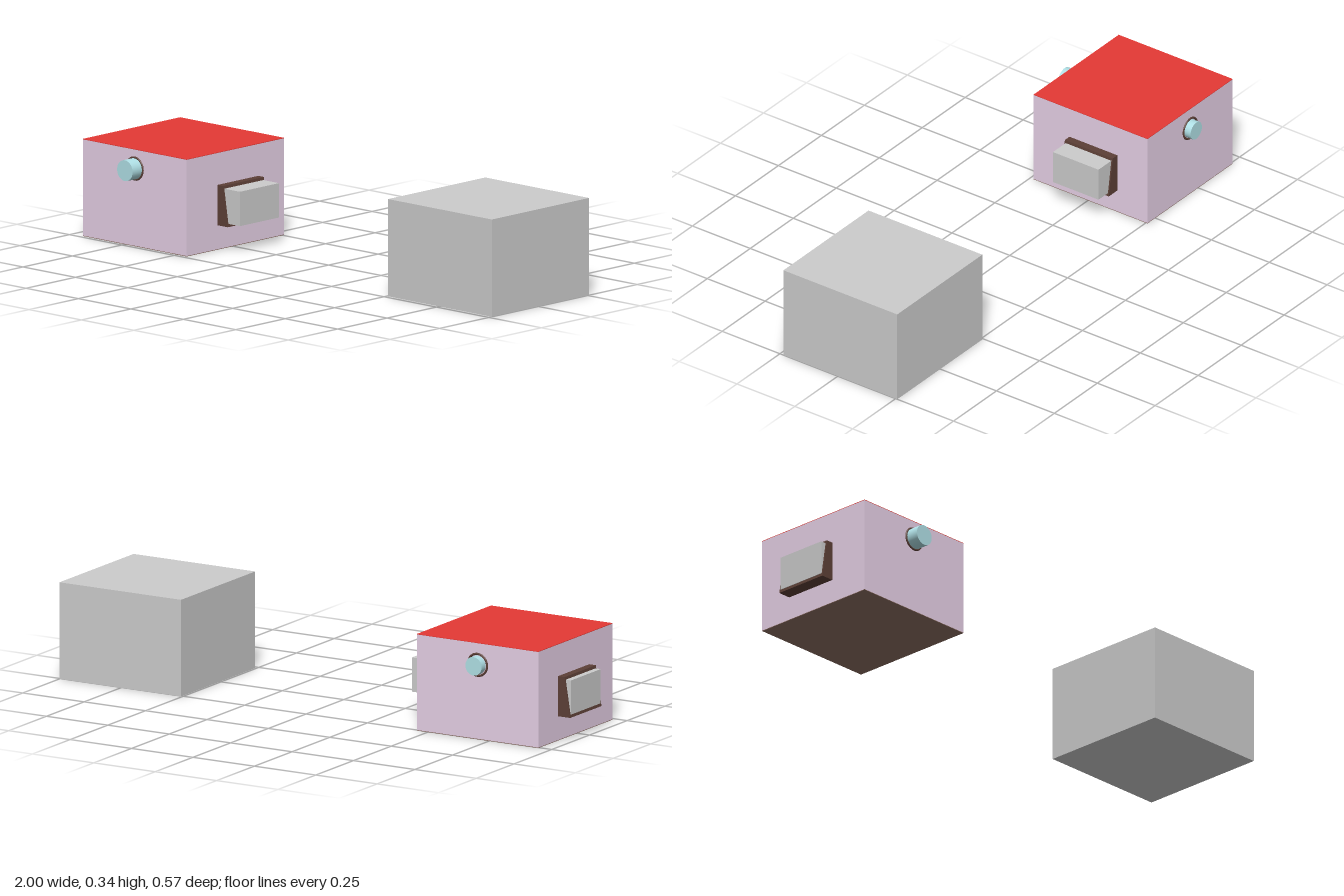
import * as THREE from 'three';

const paint = (color) => new THREE.MeshStandardMaterial({ color });
const grey = paint(0xcccccc);
const lilac = paint(0xe6d0e6);
const red = paint(0xe53935);
const brown = paint(0x8d6e63);
const darkBrown = paint(0x5d4037);
const blue = paint(0xb0e0e6);

// Box given by its lower and upper corners
function box(name, material, [x0, y0, z0], [x1, y1, z1]) {
  const mesh = new THREE.Mesh(new THREE.BoxGeometry(x1 - x0, y1 - y0, z1 - z0), material);
  mesh.position.set((x0 + x1) / 2, (y0 + y1) / 2, (z0 + z1) / 2);
  mesh.name = name;
  return mesh;
}

const CX = -0.7025, HALF = 0.2475;
const BACK = -0.257, FRONT = 0.235, HEIGHT = 0.345, SKIN = 0.002;

// Side surround with a sloping outer face; side is +1 or -1
function surround(side) {
  const x = (d) => CX + side * (HALF + d);
  const shape = new THREE.Shape([
    new THREE.Vector2(x(0), 0.087), new THREE.Vector2(x(0.05), 0.087),
    new THREE.Vector2(x(0.027), 0.23), new THREE.Vector2(x(0), 0.23),
  ]);
  const geometry = new THREE.ExtrudeGeometry(shape, { depth: 0.207, bevelEnabled: false });
  const mesh = new THREE.Mesh(geometry, darkBrown);
  mesh.position.z = -0.127;
  mesh.name = side > 0 ? 'leftSurround' : 'rightSurround';
  return mesh;
}

// Round knob with a dark collar where it meets the wall
function knob(name, wallZ, endZ, y, radius) {
  const group = new THREE.Group();
  group.name = name;
  group.position.set(CX, y, 0);
  const geometry = new THREE.CylinderGeometry(radius, radius, Math.abs(endZ - wallZ), 32);
  const barrel = new THREE.Mesh(geometry.rotateX(Math.PI / 2), blue);
  barrel.position.z = (wallZ + endZ) / 2;
  barrel.name = 'barrel';
  const collar = new THREE.Mesh(new THREE.TorusGeometry(0.039, 0.004, 10, 40), darkBrown);
  collar.position.z = wallZ;
  collar.name = 'collar';
  group.add(barrel, collar);
  return group;
}

export function createModel() {
  const model = new THREE.Group();
  const x0 = CX - HALF, x1 = CX + HALF;

  // Coloured block: base, walls and roof
  model.add(
    box('base', brown, [x0, 0, BACK], [x1, SKIN, FRONT]),
    box('walls', lilac, [x0, SKIN, BACK], [x1, HEIGHT - SKIN, FRONT]),
    box('roof', red, [x0, HEIGHT - SKIN, BACK], [x1, HEIGHT, FRONT]),
  );

  // Side surrounds and the blocks set in them
  for (const side of [1, -1]) model.add(surround(side));
  model.add(
    box('leftBlock', grey, [x1, 0.098, -0.122], [-0.352, 0.22, 0.075]),
    box('rightBlock', grey, [-1, 0.098, -0.122], [x0, 0.22, 0.075]),
  );

  // Knobs on the front and back walls
  model.add(knob('frontKnob', FRONT, 0.285, 0.276, 0.037));
  model.add(knob('backKnob', BACK, -0.284, 0.266, 0.033));

  // Plain block standing apart
  model.add(box('plainBlock', grey, [0.505, 0, BACK], [1, HEIGHT, FRONT]));
  return model;
}
